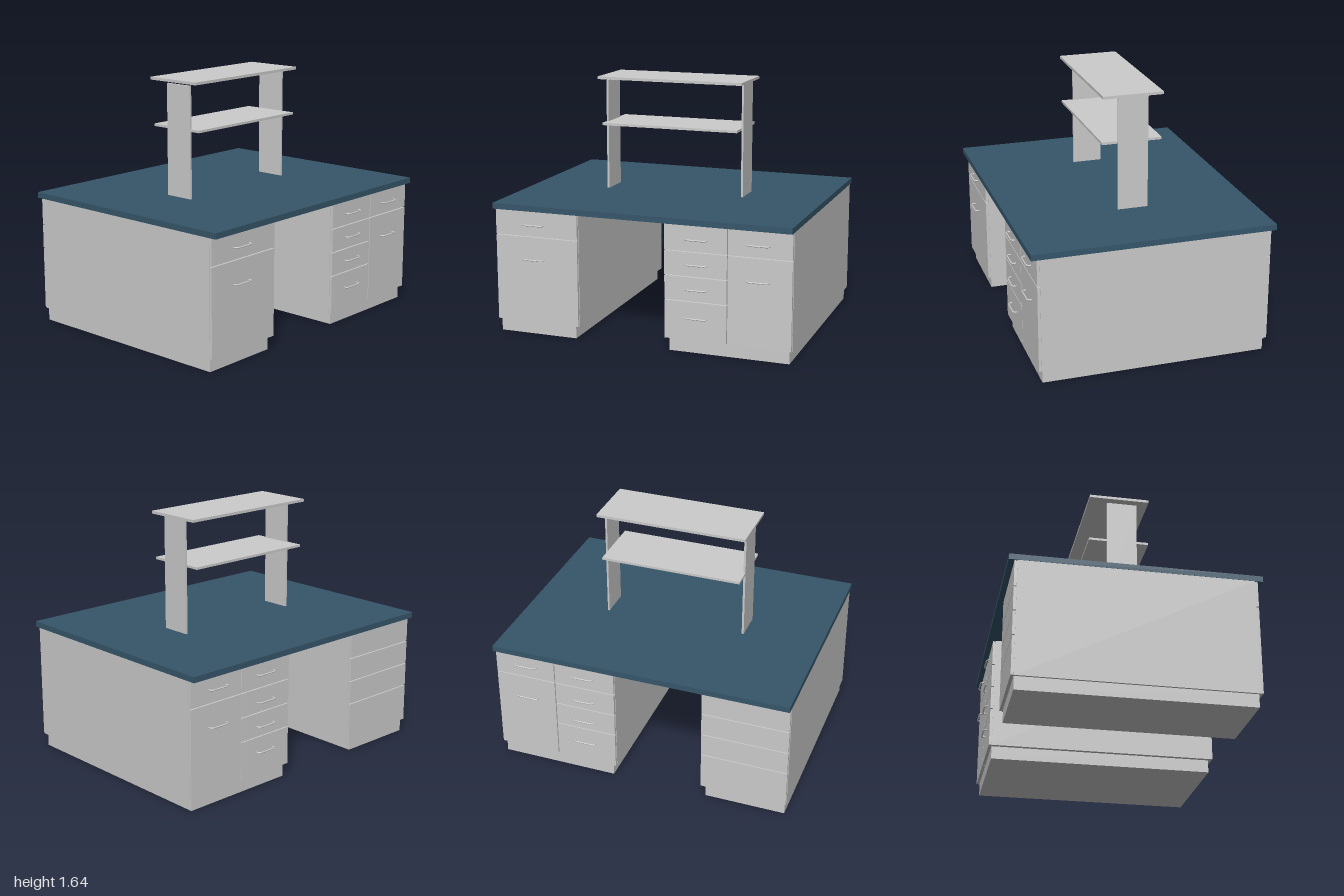
import * as THREE from 'three';

const grey = new THREE.MeshStandardMaterial({ color: 0xcccccc });
const blue = new THREE.MeshStandardMaterial({ color: 0x36566a });

// Box given by its limits on each axis
function slab(name, [x0, x1], [y0, y1], [z0, z1], material = grey) {
  const mesh = new THREE.Mesh(new THREE.BoxGeometry(x1 - x0, y1 - y0, z1 - z0), material);
  mesh.name = name;
  mesh.position.set((x0 + x1) / 2, (y0 + y1) / 2, (z0 + z1) / 2);
  return mesh;
}

// Bent bar pull, standing out along +x
const handlePath = new THREE.CatmullRomCurve3([
  [-0.004, -0.07], [0.016, -0.07], [0.025, -0.058], [0.026, -0.03],
  [0.026, 0.03], [0.025, 0.058], [0.016, 0.07], [-0.004, 0.07],
].map(([x, z]) => new THREE.Vector3(x, 0, z)));
const handleGeometry = new THREE.TubeGeometry(handlePath, 28, 0.005, 8);

const FACE = 0.755, CARCASS = 0.737, GAP = 0.003;
const BOTTOM = 0.085, TOP = 0.835;

// Column of fronts on one side: seams from top to bottom, handle heights
function frontColumn(side, [z0, z1], seams, handles, handleZ) {
  const column = new THREE.Group();
  column.name = 'frontColumn';
  const xs = [side * CARCASS, side * FACE].sort((a, b) => a - b);
  for (let i = 0; i < seams.length - 1; i++) {
    column.add(slab('drawerFront', xs, [seams[i + 1] + GAP, seams[i] - GAP], [z0 + GAP, z1 - GAP]));
  }
  for (const y of handles) {
    const handle = new THREE.Mesh(handleGeometry, grey);
    handle.name = 'handle';
    handle.position.set(side * FACE, y, handleZ);
    if (side < 0) handle.rotation.y = Math.PI;
    column.add(handle);
  }
  return column;
}

// Cabinet body with a recessed plinth
function cabinet(name, [z0, z1], plinthZ) {
  const group = new THREE.Group();
  group.name = name;
  group.add(slab('carcass', [-CARCASS, CARCASS], [BOTTOM, TOP], [z0, z1]));
  group.add(slab('plinth', [-0.735, 0.73], [0, BOTTOM], plinthZ));
  return group;
}

export function createModel() {
  const model = new THREE.Group();
  model.name = 'islandDesk';

  const fourDrawers = [TOP, 0.66, 0.5, 0.34, BOTTOM];
  const drawerAndDoor = [TOP, 0.66, BOTTOM];

  // Worktop
  model.add(slab('worktop', [-0.79, 0.79], [TOP, 0.873], [-1, 1], blue));

  // Narrow front cabinet: drawer and door on one side, plain drawers on the other
  const front = cabinet('frontCabinet', [0.42, 0.999], [0.45, 0.985]);
  front.add(frontColumn(1, [0.42, 0.999], drawerAndDoor, [0.74, 0.51], 0.73));
  front.add(frontColumn(-1, [0.42, 0.999], fourDrawers, [], 0.71));
  model.add(front);

  // Wide back cabinet: two columns of fronts on both sides
  const back = cabinet('backCabinet', [-0.999, -0.168], [-0.98, -0.195]);
  for (const side of [1, -1]) {
    const drawerPulls = side > 0 ? [0.74, 0.58, 0.42, 0.235] : [0.75, 0.57, 0.41, 0.24];
    back.add(frontColumn(side, [-0.583, -0.168], fourDrawers, drawerPulls, -0.38));
    back.add(frontColumn(side, [-0.999, -0.583], drawerAndDoor, [drawerPulls[0], 0.51], -0.78));
  }
  model.add(back);

  // Raised shelf unit
  const shelves = new THREE.Group();
  shelves.name = 'shelfUnit';
  shelves.add(slab('frontUpright', [-0.095, 0.105], [0.873, 1.608], [0.472, 0.486]));
  shelves.add(slab('backUpright', [-0.12, 0.08], [0.873, 1.622], [-0.468, -0.455]));
  shelves.add(slab('middleShelf', [-0.215, 0.183], [1.315, 1.331], [-0.455, 0.485]));
  shelves.add(slab('topShelf', [-0.215, 0.183], [1.622, 1.64], [-0.485, 0.515]));
  model.add(shelves);

  return model;
}
